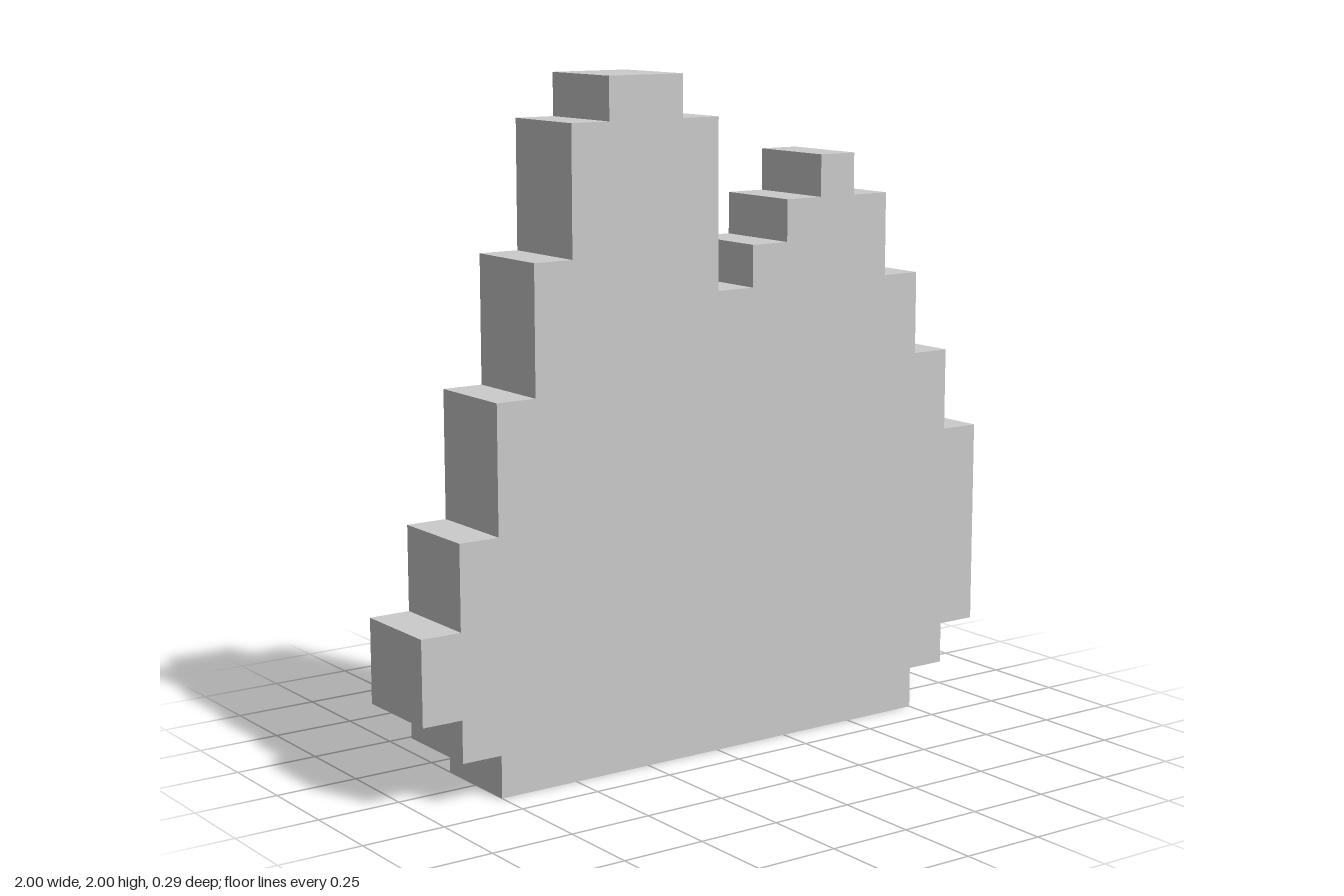
import * as THREE from 'three';

const CELL = 0.125;
const DEPTH = 0.286;

// Stepped silhouette: bottom and top of each column, in cells, from -x to +x
const BOTTOMS = [2, 1, 0, 0, 0, 0, 0, 0, 0, 0, 0, 0, 0, 0, 1, 2];
const TOPS = [4, 6, 9, 12, 15, 16, 16, 15, 11, 12, 13, 14, 13, 11, 9, 7];

// Corner points of a staircase edge, without repeated or collinear points
function stairs(levels) {
  const points = [];
  levels.forEach((level, i) => {
    const x = (i - levels.length / 2) * CELL;
    if (level !== levels[i - 1]) points.push(new THREE.Vector2(x, level * CELL));
    if (level !== levels[i + 1]) points.push(new THREE.Vector2(x + CELL, level * CELL));
  });
  return points;
}

export function createModel() {
  const group = new THREE.Group();
  group.name = 'steppedMountain';

  // One solid slab with two peaks: along the bottom, then back over the top
  const outline = new THREE.Shape([...stairs(BOTTOMS), ...stairs(TOPS).reverse()]);
  const geometry = new THREE.ExtrudeGeometry(outline, { depth: DEPTH, bevelEnabled: false });
  geometry.translate(0, 0, -DEPTH / 2);

  const slab = new THREE.Mesh(
    geometry,
    new THREE.MeshStandardMaterial({ color: 0xcccccc, flatShading: true })
  );
  slab.name = 'twinPeakSlab';
  group.add(slab);
  return group;
}
